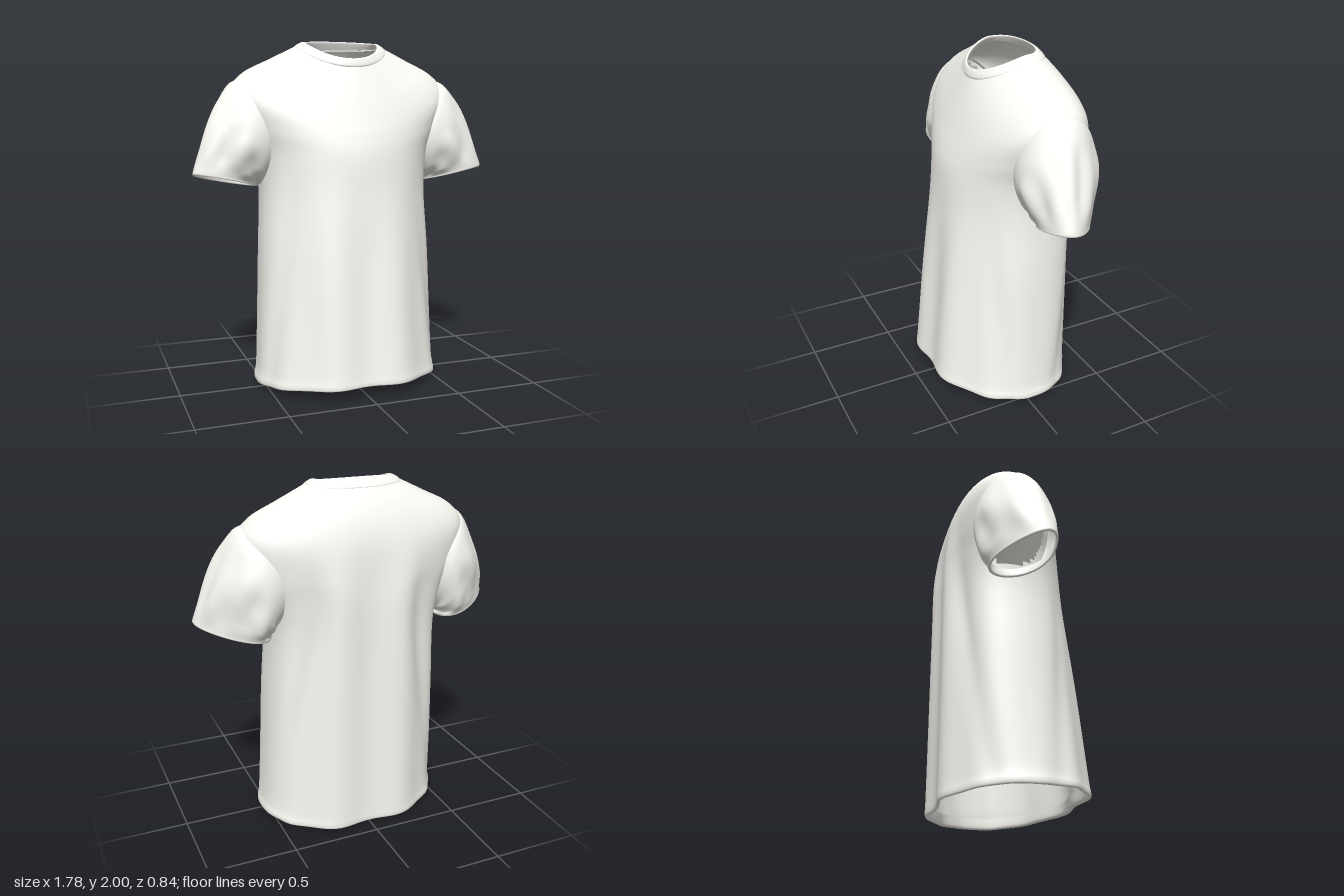
import * as THREE from 'three';

const material = new THREE.MeshStandardMaterial({ color: 0xfdfbf5, side: THREE.DoubleSide });
const spow = (v, e) => Math.sign(v) * Math.abs(v) ** e;
const fade = (v, a, b) => 1 - THREE.MathUtils.smoothstep(v, a, b);
const bump = (v, centre, width) => Math.exp(-(((v - centre) / width) ** 2));

// Smooth interpolation of every column of a table of cross-sections
function sample(keys, s) {
  const last = keys.length - 1, i = Math.min(Math.floor(s), last - 1), f = s - i;
  const k = (n) => keys[Math.max(0, Math.min(last, n))];
  return keys[i].map((p1, c) => {
    const p0 = k(i - 1)[c], p2 = k(i + 1)[c], p3 = k(i + 2)[c];
    return p1 + 0.5 * f * (p2 - p0 + f * (2 * p0 - 5 * p1 + 4 * p2 - p3 + f * (3 * (p1 - p2) + p3 - p0)));
  });
}

// Skins closed loops; point(section, angle) gives a position, skip drops faces
function loft(name, keys, point, { sides = 160, steps = 7, flip = false, skip = () => false } = {}) {
  const rows = (keys.length - 1) * steps, pos = [], index = [];
  for (let i = 0; i <= rows; i++) {
    const section = sample(keys, i / steps);
    for (let j = 0; j < sides; j++) pos.push(...point(section, (j / sides) * Math.PI * 2));
  }
  for (let i = 0; i < rows; i++) {
    for (let j = 0; j < sides; j++) {
      const a = i * sides + j, b = i * sides + ((j + 1) % sides), c = a + sides, d = b + sides;
      if (skip(pos[a * 3], pos[a * 3 + 1], pos[a * 3 + 2])) continue;
      if (flip) index.push(a, b, c, b, d, c);
      else index.push(a, c, b, b, c, d);
    }
  }
  const geometry = new THREE.BufferGeometry();
  geometry.setAttribute('position', new THREE.Float32BufferAttribute(pos, 3));
  geometry.setIndex(index);
  geometry.computeVertexNormals();
  const mesh = new THREE.Mesh(geometry, material);
  mesh.name = name;
  return mesh;
}

// Body loop: [half width, front z, back z, front y, side y, back y, side z]
function bodyPoint([w, zf, zb, yf, ys, yb, zs], t) {
  const c = Math.cos(t), s = Math.sin(t), front = s > 0;
  const z = zs + (front ? (zf - zs) * s ** 0.95 : (zb - zs) * Math.abs(s) ** 0.75);
  const y = ys + ((front ? yf : yb) - ys) * Math.abs(s) ** 1.3;
  return [w * spow(c, front ? 1 : 0.94), y, z];
}

// Body with hanging folds, and a slanting pinch between flank and panel
function foldedPoint(section, t) {
  const [x, y, z] = bodyPoint(section, t);
  const s = Math.sin(t), front = s > 0;
  const angle = Math.asin(Math.min(1, Math.abs(s)));
  const amount = front ? fade(y, 0.5, 1.4) : fade(y, 1.4, 1.8);
  const pinch = bump(angle, front ? 0.3 + 0.35 * y : 0.4 + 0.45 * y, 0.17);
  const ripple = -0.02 * Math.cos(8 * angle) * s * s;
  const fold = amount * (ripple - (front ? 0.026 : 0.02) * pinch);
  return [x + fold * 0.6 * Math.cos(t), y, z + fold * s];
}

// Sleeve loop: [top x, top y, bottom x, bottom y, front z, back z, skew, taper, bow]
function sleevePoint(side) {
  return ([tx, ty, bx, by, zf, zb, skew, taper, bow], t) => {
    const c = Math.cos(t), s = Math.sin(t);
    const crease = fade(ty, 1.6, 1.75) * (1 - fade(ty, 1.25, 1.42)) *
      (0.008 * Math.cos(5 * t + ty * 7) + 0.005 * Math.cos(9 * t - ty * 5));
    const z = (zf + zb) / 2 + ((zf - zb) / 2 + crease) * s * (1 - taper * c) + skew * c;
    const x = (tx + bx) / 2 + ((tx - bx) / 2 + crease) * c - bow * s * s;
    const y = (ty + by) / 2 + ((ty - by) / 2) * c + skew * 0.3 * s;
    return [side * x, y, z];
  };
}

export function createModel() {
  const shirt = new THREE.Group();
  shirt.name = 'shirt';

  // Body from the turned-in hem up to the neck seam, open at the armholes
  const body = [
    [0.525, 0.385, -0.39, 0.13, 0.09, 0.06, 0],
    [0.53, 0.395, -0.4, 0.078, 0.035, 0.01, 0],
    [0.547, 0.413, -0.41, 0.066, 0.025, 0.0, 0],
    [0.553, 0.418, -0.417, 0.085, 0.05, 0.02, 0],
    [0.54, 0.41, -0.417, 0.15, 0.13, 0.1, 0],
    [0.525, 0.382, -0.418, 0.42, 0.42, 0.42, -0.02],
    [0.51, 0.342, -0.42, 0.8, 0.8, 0.8, -0.04],
    [0.496, 0.307, -0.422, 1.13, 1.15, 1.15, -0.07],
    [0.525, 0.287, -0.424, 1.34, 1.36, 1.35, -0.1],
    [0.6, 0.262, -0.418, 1.45, 1.54, 1.5, -0.12],
    [0.65, 0.228, -0.402, 1.55, 1.71, 1.65, -0.12],
    [0.58, 0.193, -0.372, 1.65, 1.81, 1.77, -0.12],
    [0.42, 0.155, -0.328, 1.75, 1.89, 1.875, -0.12],
    [0.27, 0.118, -0.278, 1.84, 1.962, 1.95, -0.12],
  ];
  const armhole = (x, y, z) =>
    Math.abs(x) > 0.4 && ((y - 1.48) / 0.25) ** 2 + ((z + 0.115) / 0.19) ** 2 < 1;
  shirt.add(loft('body', body, foldedPoint, { skip: armhole }));

  // Collar band, folded over the neck edge
  const collar = [
    [0.272, 0.112, -0.277, 1.836, 1.956, 1.946, -0.12],
    [0.268, 0.12, -0.278, 1.845, 1.966, 1.955, -0.12],
    [0.246, 0.116, -0.257, 1.868, 1.98, 1.982, -0.12],
    [0.225, 0.107, -0.234, 1.888, 1.988, 2.0, -0.12],
    [0.216, 0.098, -0.227, 1.884, 1.982, 1.994, -0.12],
    [0.235, 0.1, -0.245, 1.845, 1.955, 1.955, -0.12],
  ];
  shirt.add(loft('collar', collar, bodyPoint, { sides: 96, steps: 4 }));

  // Short sleeves set into the armholes, with turned-in cuffs
  const sleeve = [
    [0.6, 1.775, 0.475, 1.205, 0.095, -0.325, 0, 0, 0.06],
    [0.66, 1.75, 0.485, 1.195, 0.108, -0.338, 0, 0.02, 0.045],
    [0.72, 1.67, 0.49, 1.187, 0.109, -0.335, 0.01, 0.08, 0.02],
    [0.79, 1.54, 0.495, 1.18, 0.095, -0.31, 0.025, 0.15, 0],
    [0.85, 1.39, 0.5, 1.172, 0.075, -0.275, 0.045, 0.22, 0],
    [0.886, 1.275, 0.502, 1.168, 0.06, -0.248, 0.06, 0.25, 0],
    [0.89, 1.248, 0.507, 1.16, 0.057, -0.242, 0.06, 0.25, 0],
    [0.875, 1.247, 0.52, 1.166, 0.048, -0.232, 0.06, 0.25, 0],
    [0.855, 1.3, 0.515, 1.21, 0.055, -0.24, 0.055, 0.22, 0],
  ];
  for (const [name, side] of [['leftSleeve', 1], ['rightSleeve', -1]]) {
    shirt.add(loft(name, sleeve, sleevePoint(side), { sides: 80, flip: side > 0 }));
  }
  return shirt;
}
